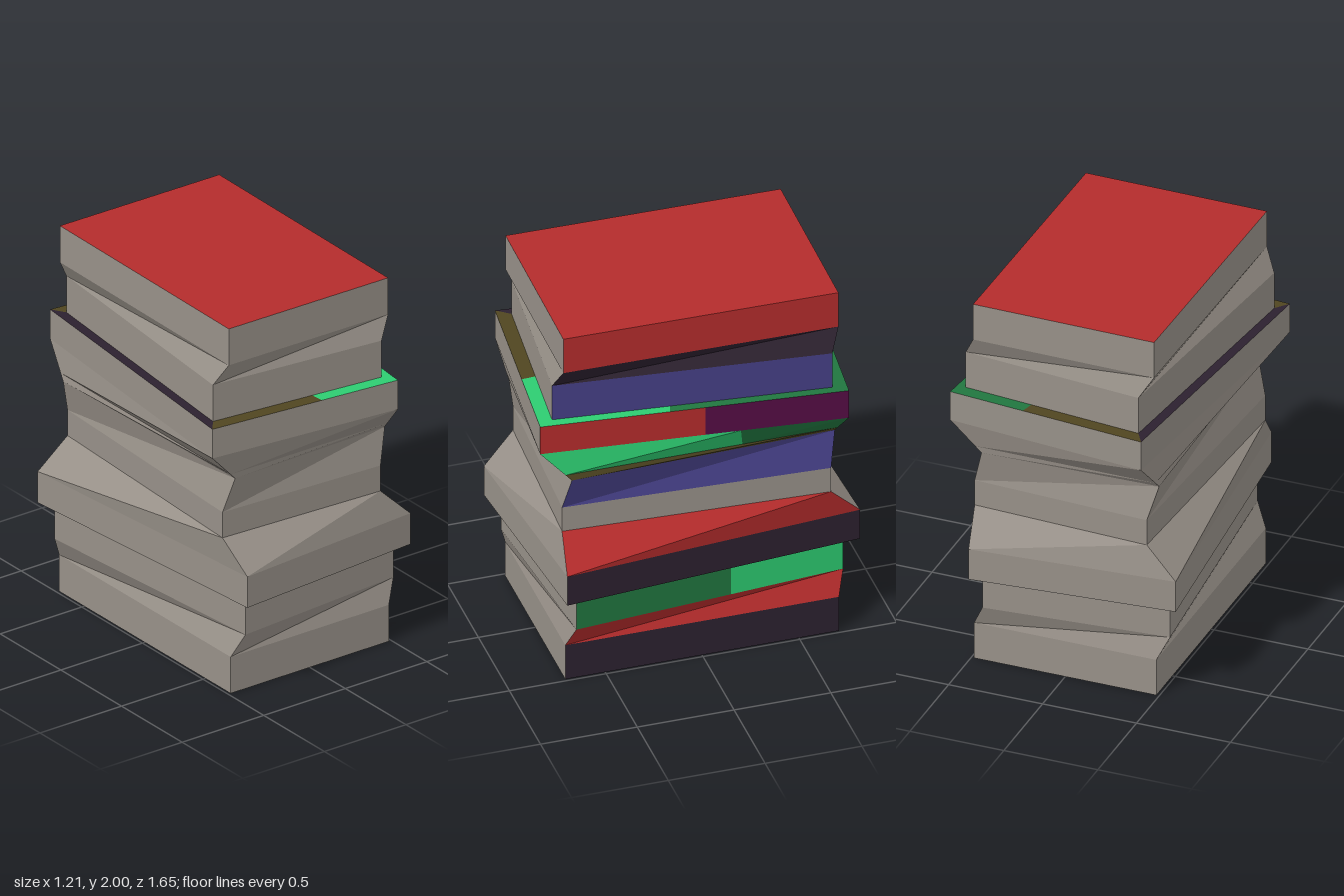
import * as THREE from 'three';

const mat = (name, color) => {
  const m = new THREE.MeshStandardMaterial({ color });
  m.name = name;
  return m;
};

// Corners of a turned rectangle: front left, front right, back right, back left
function ring(y, halfX, halfZ, degrees) {
  const a = THREE.MathUtils.degToRad(degrees);
  return [[-1, 1], [1, 1], [1, -1], [-1, -1]].map(([sx, sz]) =>
    new THREE.Vector3(sx * halfX, y, sz * halfZ).applyAxisAngle(new THREE.Vector3(0, 1, 0), a));
}
const mix = (A, B, t) => A.map((p, i) => p.clone().lerp(B[i], t));

function quad(name, a, b, c, d, material) {
  const g = new THREE.BufferGeometry().setFromPoints([a, b, c, a, c, d]);
  g.computeVertexNormals();
  const mesh = new THREE.Mesh(g, material);
  mesh.name = name;
  return mesh;
}

// Four faces between two rings; each face lists [material, end fraction] strips
function band(name, A, B, faces) {
  const group = new THREE.Group();
  group.name = name;
  ['Front', 'Spine', 'Back', 'Left'].forEach((side, i) => {
    const j = (i + 1) % 4;
    let t0 = 0;
    for (const [material, t1] of faces[i]) {
      const at = (R, t) => R[i].clone().lerp(R[j], t);
      group.add(quad(name + side, at(A, t0), at(A, t1), at(B, t1), at(B, t0), material));
      t0 = t1;
    }
  });
  return group;
}

export function createModel() {
  const pages = mat('page grey', 0x979088);
  const red = mat('red cloth', 0xb42c2c);
  const plum = mat('dark plum cloth', 0x2c212f);
  const blue = mat('blue cloth', 0x453f85);
  const green = mat('dark green cloth', 0x21763f);
  const mint = mat('bright green cloth', 0x2dcc71);
  const purple = mat('purple cloth', 0x540c44);
  const olive = mat('olive cloth', 0x504621);

  // Cross-sections from the floor upwards
  const base = ring(0, 0.485, 0.707, 0), baseTop = ring(0.2, 0.485, 0.707, 0);
  const second = ring(0.32, 0.485, 0.71, 4.75), secondTop = ring(0.51, 0.485, 0.71, 4.75);
  const wide = ring(0.51, 0.535, 0.78, 4.8), wideTop = ring(0.68, 0.535, 0.78, 4.8);
  const slim = ring(0.84, 0.468, 0.685, -2.8), slimTop = ring(0.98, 0.468, 0.685, -2.8);
  const neck = ring(1.165, 0.468, 0.685, 1.5);
  const broad = ring(1.33, 0.532, 0.777, -5.7), broadTop = ring(1.49, 0.532, 0.777, -5.7);
  const upper = ring(1.49, 0.4825, 0.705, -5.9), upperTop = ring(1.69, 0.4825, 0.705, -5.9);
  const last = ring(1.8, 0.484, 0.708, -0.7), top = ring(2, 0.484, 0.708, -0.7);
  const flare = mix(neck, broad, 0.2);

  const model = new THREE.Group();
  model.name = 'bookStack';

  // Books: coloured spines on one side, pages on the other three
  const p = [[pages, 1]];
  const books = [
    ['bottomBook', base, baseTop, [[plum, 1]]],
    ['thinRedBook', baseTop, second, [[red, 1]]],
    ['greenBook', second, secondTop, [[green, 0.58], [mint, 1]]],
    ['widePlumBook', wide, wideTop, [[plum, 1]]],
    ['slopingRedBook', wideTop, slim, [[red, 1]]],
    ['greyBook', slim, slimTop, [[pages, 1]]],
    ['lowerBlueBook', slimTop, neck, [[blue, 1]]],
    ['oliveBook', neck, flare, [[olive, 1]]],
    ['flaredGreenBook', flare, broad, [[mint, 0.65], [green, 1]]],
    ['wideRedBook', broad, broadTop, [[red, 0.535], [purple, 1]]],
    ['upperBlueBook', upper, upperTop, [[blue, 1]]],
    ['thinPlumBook', upperTop, last, [[plum, 1]]],
    ['topBook', last, top, [[red, 1]]],
  ];
  for (const [name, A, B, spine] of books) model.add(band(name, A, B, [p, spine, p, p]));

  // Exposed cover rims of the two oversized books
  model.add(band('lowerCoverRim', secondTop, wide,
    [[[olive, 0.6], [green, 1]], [[green, 1]], [[green, 0.38], [olive, 1]], [[plum, 1]]]));
  model.add(band('upperCoverRim', broadTop, upper,
    [[[olive, 0.59], [mint, 1]], [[mint, 0.42], [green, 1]], [[green, 0.38], [olive, 1]], [[plum, 1]]]));

  // Closing covers
  model.add(quad('topCover', ...top, red));
  model.add(quad('bottomCover', ...[...base].reverse(), plum));
  return model;
}
